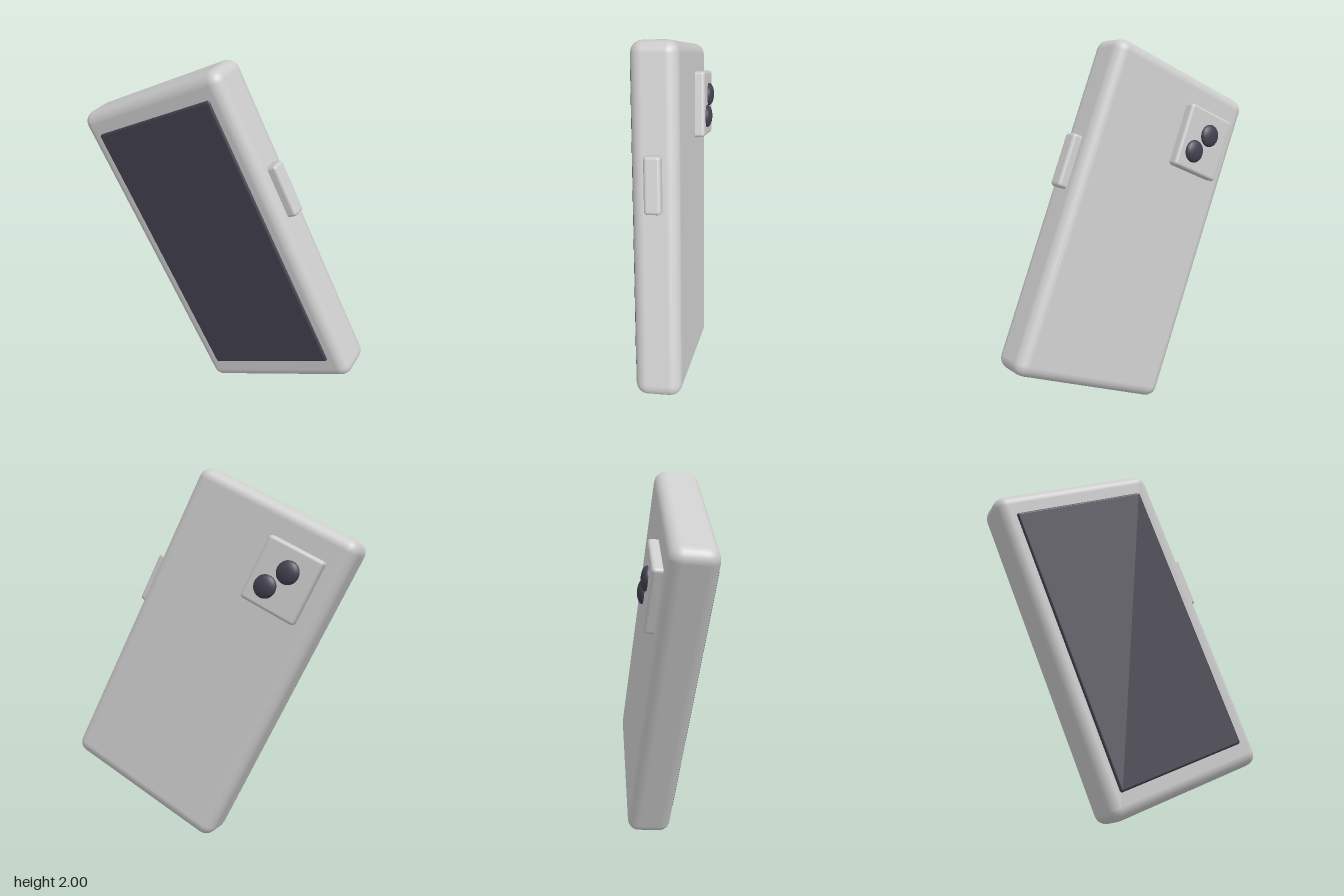
import * as THREE from 'three';
import { RoundedBoxGeometry } from 'three/addons/geometries/RoundedBoxGeometry.js';

export function createModel() {
  const shell = new THREE.MeshStandardMaterial({ color: 0xcccccc });
  shell.name = 'light grey shell';
  const glass = new THREE.MeshStandardMaterial({ color: 0x42404f });
  glass.name = 'dark glass';

  // Everything is built upright around the origin, then tilted as one.
  const phone = new THREE.Group();
  phone.name = 'phone';

  const add = (name, geometry, material, x, y, z) => {
    const mesh = new THREE.Mesh(geometry, material);
    mesh.name = name;
    mesh.position.set(x, y, z);
    phone.add(mesh);
    return mesh;
  };
  const block = (w, h, d, r) => new RoundedBoxGeometry(w, h, d, 3, r);

  // Thick rounded body with the screen slightly proud of the front
  add('body', block(0.968, 1.794, 0.24, 0.063), shell, 0, 0, 0);
  add('screen', block(0.786, 1.542, 0.04, 0.012), glass, 0, 0.003, 0.112);

  // Side button
  add('sideButton', block(0.09, 0.285, 0.085, 0.018), shell, 0.488, 0.213, 0.003);

  // Camera plate on the back with two domed lenses
  add('cameraPlate', block(0.322, 0.354, 0.075, 0.018), shell, -0.212, 0.565, -0.135);
  for (const [x, y] of [[-0.154, 0.498], [-0.23, 0.614]]) {
    const lens = add('cameraLens', new THREE.SphereGeometry(0.062, 24, 16), glass, x, y, -0.174);
    lens.scale.z = 0.45;
  }

  // Tilt: width, height and facing directions of the phone
  const up = new THREE.Vector3(-0.435, 0.9, 0.0325).normalize();
  const facing = new THREE.Vector3(-0.101, -0.085, 0.991).normalize();
  const across = new THREE.Vector3().crossVectors(up, facing).normalize();
  facing.crossVectors(across, up);
  phone.quaternion.setFromRotationMatrix(new THREE.Matrix4().makeBasis(across, up, facing));
  phone.position.y = 1;

  const model = new THREE.Group();
  model.name = 'tiltedPhone';
  model.add(phone);
  return model;
}
